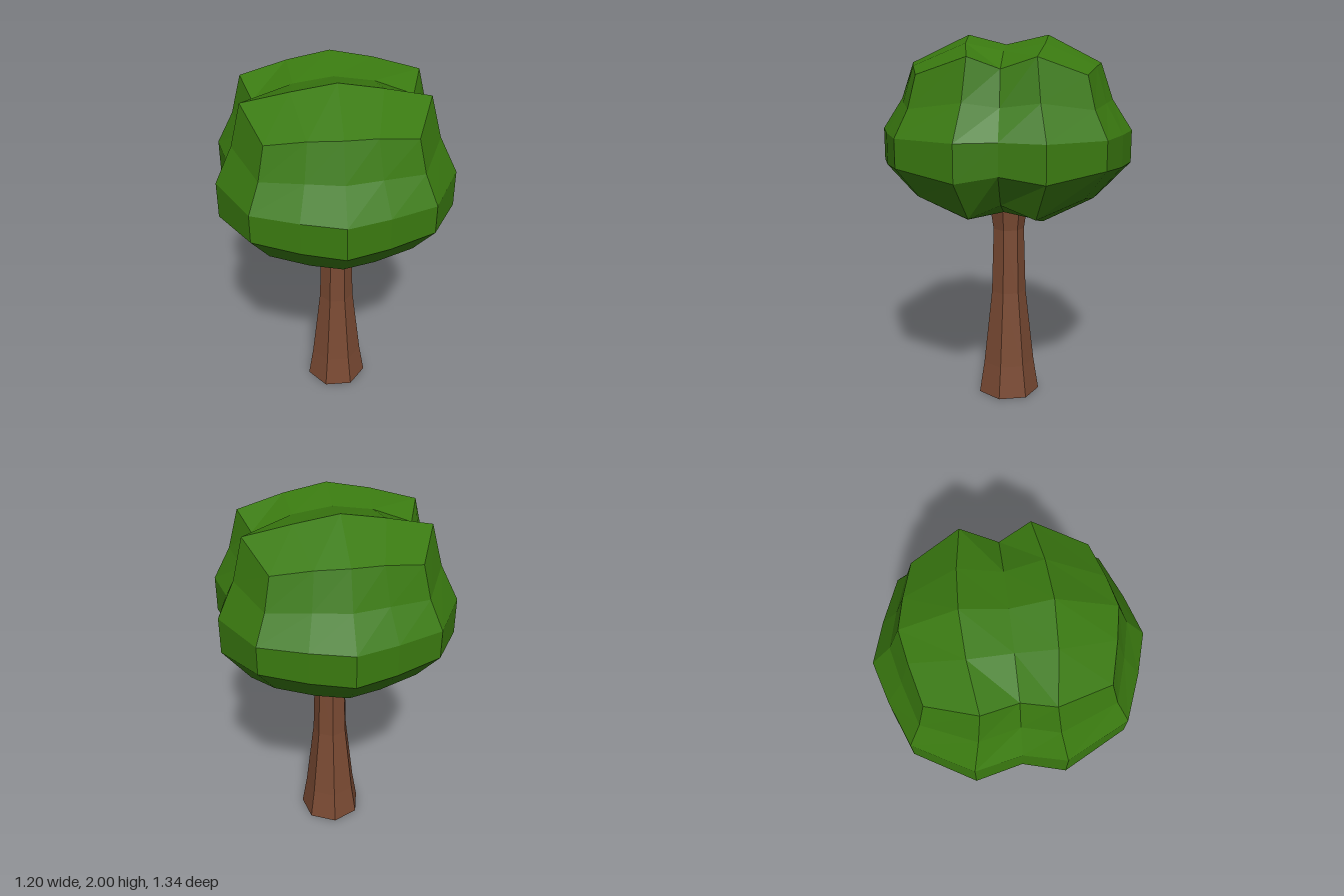
import * as THREE from 'three';

// Foliage columns keyed by grid step |x||z|: [x, z, half height, pull-in at top and bottom]
const COLUMNS = {
  '00': [0, 0, 0.445, 0],
  '01': [0, 0.21, 0.495, 0],
  '10': [0.2, 0, 0.415, 0],
  '11': [0.22, 0.2, 0.455, 0],
  '20': [0.55, 0, 0.335, 0.27],
  '21': [0.6, 0.22, 0.395, 0.235],
  '22': [0.44, 0.52, 0.305, 0.19],
  '12': [0.21, 0.61, 0.34, 0.23],
  '02': [0, 0.672, 0.352, 0.255],
};
const MID_HEIGHT = 1.505;
// Per row, bottom to top: share of the half height, share of the pull-in
const ROWS = [[-1, 1], [-0.49, 0], [0, 0], [0.46, 0.62], [1, 1]];

// A gridded block shaped into a rounded crown with a valley across its middle
function makeFoliage() {
  const geometry = new THREE.BoxGeometry(4, 4, 4, 4, 4, 4);
  const position = geometry.attributes.position;
  for (let n = 0; n < position.count; n++) {
    const i = Math.round(position.getX(n));
    const j = Math.round(position.getY(n));
    const k = Math.round(position.getZ(n));
    const [x, z, half, pull] = COLUMNS[`${Math.abs(i)}${Math.abs(k)}`];
    const [rise, share] = ROWS[j + 2];
    const scale = 1 - pull * share;
    const shift = Math.abs(k) === 1 ? -0.014 : -0.003;
    position.setXYZ(
      n,
      Math.sign(i) * x * scale,
      MID_HEIGHT + half * rise,
      Math.sign(k) * z * scale + shift
    );
  }
  geometry.computeVertexNormals();
  const material = new THREE.MeshStandardMaterial({ color: 0x3a7a10, flatShading: true });
  const mesh = new THREE.Mesh(geometry, material);
  mesh.name = 'foliage';
  return mesh;
}

// Seven-sided trunk, wide at the foot and flaring slightly into the crown
function makeTrunk() {
  const profile = [
    [0, 0], [0.175, 0], [0.146, 0.18], [0.098, 0.6],
    [0.087, 0.96], [0.108, 1.1], [0, 1.15],
  ].map(([r, y]) => new THREE.Vector2(r, y));
  const geometry = new THREE.LatheGeometry(profile, 7, Math.PI);
  const material = new THREE.MeshStandardMaterial({ color: 0x7a4a33, flatShading: true });
  const mesh = new THREE.Mesh(geometry, material);
  mesh.position.set(0.015, 0, -0.014);
  mesh.name = 'trunk';
  return mesh;
}

export function createModel() {
  const tree = new THREE.Group();
  tree.name = 'tree';
  tree.add(makeTrunk(), makeFoliage());
  return tree;
}
